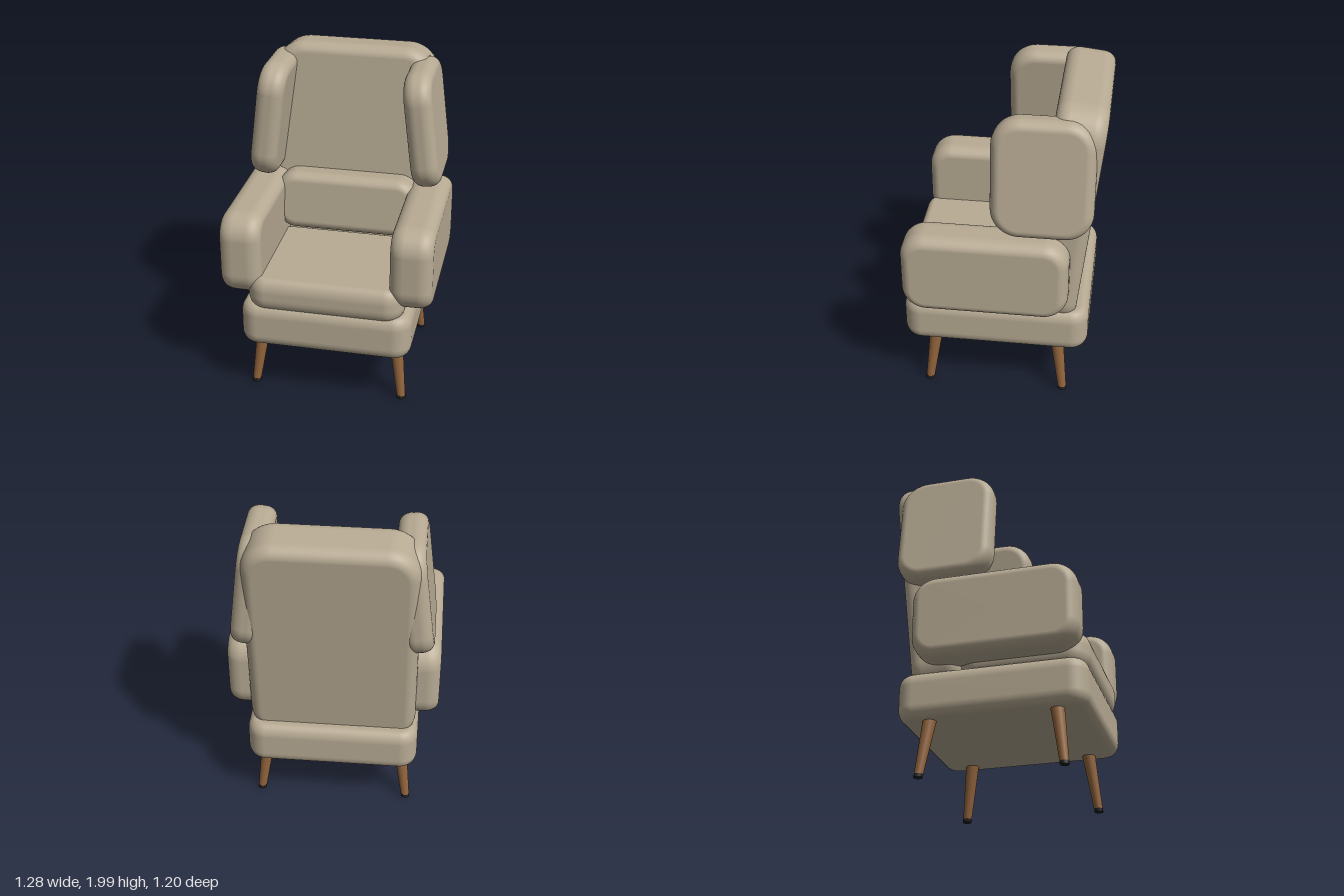
import * as THREE from 'three';

const fabric = new THREE.MeshStandardMaterial({ name: 'beigeFabric', color: 0xb8ab94 });
const wood = new THREE.MeshStandardMaterial({ name: 'brownWood', color: 0x91643c });
const rubber = new THREE.MeshStandardMaterial({ name: 'blackRubber', color: 0x222222 });

// Padded slab lying flat: plan w x d with corner radius R, thickness h along y,
// and soft elliptical edges (a across, b along the thickness).
function pad(w, h, d, R, a, b) {
  const pos = [], nor = [], idx = [], corner = 10, edge = 8;
  const rings = [{ cap: 1, f: Math.PI / 2 }];
  for (let i = 0; i <= edge; i++) rings.push({ s: 1, f: (Math.PI / 2) * (1 - i / edge) });
  for (let i = 0; i <= edge; i++) rings.push({ s: -1, f: (-Math.PI / 2) * (i / edge) });
  rings.push({ cap: -1, f: -Math.PI / 2 });
  const cols = 4 * (corner + 1) + 1;
  for (const { cap, s, f } of rings) {
    for (let j = 0; j < cols; j++) {
      const q = Math.floor(j / (corner + 1)) % 4;
      const t = (q + (j % (corner + 1)) / corner) * Math.PI / 2;
      const c = Math.cos(t), k = Math.sin(t);
      const sx = q === 0 || q === 3 ? 1 : -1, sz = q < 2 ? 1 : -1;
      const r = R - a + a * Math.cos(f);
      if (cap) pos.push(0, cap * h / 2, 0);
      else pos.push(sx * (w / 2 - R) + r * c, s * (h / 2 - b) + b * Math.sin(f), sz * (d / 2 - R) + r * k);
      const n = new THREE.Vector3(c * Math.cos(f) / a, Math.sin(f) / b, k * Math.cos(f) / a).normalize();
      nor.push(n.x, n.y, n.z);
    }
  }
  for (let i = 0; i < rings.length - 1; i++) {
    for (let j = 0; j < cols - 1; j++) {
      const p = i * cols + j, q = p + cols;
      idx.push(p, p + 1, q, p + 1, q + 1, q);
    }
  }
  const g = new THREE.BufferGeometry();
  g.setAttribute('position', new THREE.Float32BufferAttribute(pos, 3));
  g.setAttribute('normal', new THREE.Float32BufferAttribute(nor, 3));
  g.setIndex(idx);
  return g;
}

export function createModel() {
  const model = new THREE.Group();
  model.name = 'wingArmchair';

  function add(name, geometry, material, x, y, z, rx = 0, rz = 0) {
    const mesh = new THREE.Mesh(geometry, material);
    mesh.name = name;
    mesh.position.set(x, y, z);
    mesh.rotation.set(rx, 0, rz);
    model.add(mesh);
  }

  // Seat base and cushion
  add('seatBase', pad(1.05, 0.28, 1.14, 0.11, 0.055, 0.075), fabric, 0, 0.49, 0.03);
  add('seatCushion', pad(0.96, 0.21, 0.78, 0.12, 0.055, 0.085), fabric, 0, 0.705, 0.21);

  // Reclined backrest and lumbar cushion, thickness turned to z
  const lean = -0.111;
  add('backrest', pad(1.01, 0.3, 1.48, 0.19, 0.07, 0.08).rotateX(Math.PI / 2), fabric, 0, 1.25, -0.38, lean);
  add('lumbarCushion', pad(0.9, 0.22, 0.375, 0.13, 0.06, 0.07).rotateX(Math.PI / 2), fabric, 0, 1.025, -0.155, lean);

  // Arms and inward-leaning wings, thickness turned to x
  for (const s of [1, -1]) {
    const side = s > 0 ? 'left' : 'right';
    add(side + 'Arm', pad(0.525, 0.255, 1.0, 0.15, 0.065, 0.085).rotateZ(Math.PI / 2), fabric, s * 0.515, 0.928, 0.08);
    add(side + 'Wing', pad(0.735, 0.17, 0.6, 0.17, 0.06, 0.07).rotateZ(Math.PI / 2), fabric, s * 0.475, 1.57, -0.25, 0, s * 0.122);

    // Splayed tapered legs with dark feet
    for (const f of [1, -1]) {
      const splay = new THREE.Matrix4().makeShear(0, 0, -0.125 * s, -0.125 * f, 0, 0);
      const name = side + (f > 0 ? 'Front' : 'Back');
      const leg = new THREE.CylinderGeometry(0.042, 0.027, 0.362, 24).translate(0, 0.199, 0).applyMatrix4(splay);
      const foot = new THREE.CylinderGeometry(0.028, 0.027, 0.02, 24).translate(0, 0.01, 0).applyMatrix4(splay);
      add(name + 'Leg', leg, wood, s * 0.465, 0, 0.03 + f * 0.425);
      add(name + 'Foot', foot, rubber, s * 0.465, 0, 0.03 + f * 0.425);
    }
  }
  return model;
}
